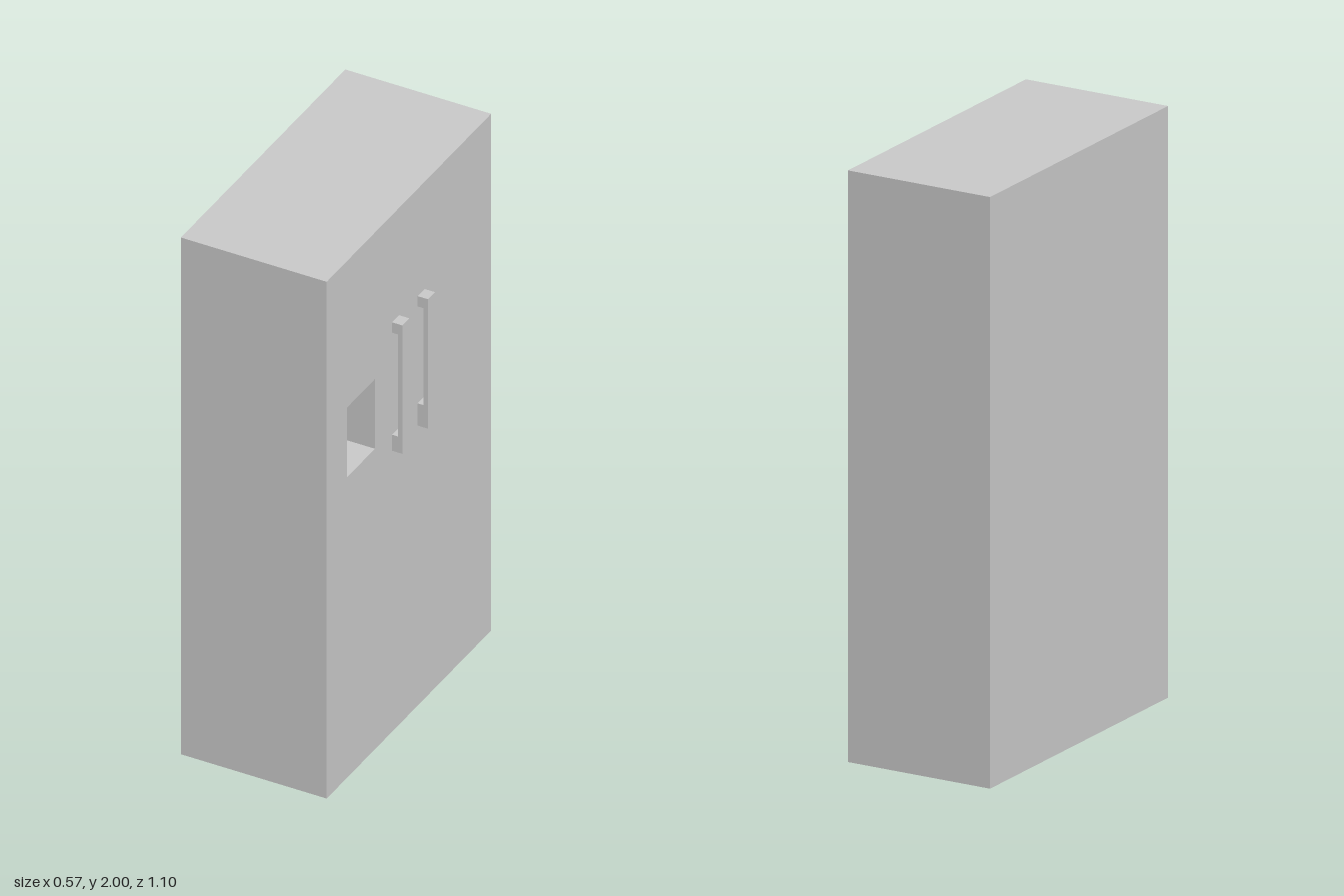
import * as THREE from 'three';

const BACK = -0.286, FRONT = 0.248, HALF_W = 0.552, HEIGHT = 2;
const POCKET = { z0: 0.228, z1: 0.415, y0: 1.163, y1: 1.433, depth: 0.105 };

const material = new THREE.MeshStandardMaterial({ color: 0xcccccc, flatShading: true });

function addMesh(parent, name, geometry) {
  const mesh = new THREE.Mesh(geometry, material);
  mesh.name = name;
  parent.add(mesh);
  return mesh;
}

// Box given by its lower and upper corners
function addBox(parent, name, [x0, y0, z0], [x1, y1, z1]) {
  const mesh = addMesh(parent, name, new THREE.BoxGeometry(x1 - x0, y1 - y0, z1 - z0));
  mesh.position.set((x0 + x1) / 2, (y0 + y1) / 2, (z0 + z1) / 2);
}

function polygon(points) {
  return points.map(([x, y]) => new THREE.Vector2(x, y));
}

// C-shaped door pull: a flat bar with a post at each end
function addHandle(parent, name, z, bottom, postTop) {
  const top = 1.585, outer = 0.286, inner = 0.269, upperPost = 1.545, width = 0.047;
  const profile = new THREE.Shape(polygon([
    [FRONT, bottom], [outer, bottom], [outer, top], [FRONT, top],
    [FRONT, upperPost], [inner, upperPost], [inner, postTop], [FRONT, postTop],
  ]));
  const geometry = new THREE.ExtrudeGeometry(profile, { depth: width, bevelEnabled: false });
  geometry.translate(0, 0, z - width / 2);
  addMesh(parent, name, geometry);
}

export function createModel() {
  const model = new THREE.Group();
  model.name = 'refrigerator';
  const { z0, z1, y0, y1, depth } = POCKET;
  const seam = FRONT - depth;

  // Cabinet; its front face closes the back of the dispenser recess
  addBox(model, 'cabinet', [BACK, 0, -HALF_W], [seam, HEIGHT, HALF_W]);

  // Door slab with the dispenser recess cut through, drawn with shape x = -z
  const slab = new THREE.Shape(polygon([[-HALF_W, 0], [HALF_W, 0], [HALF_W, HEIGHT], [-HALF_W, HEIGHT]]));
  slab.holes.push(new THREE.Path(polygon([[-z1, y0], [-z1, y1], [-z0, y1], [-z0, y0]])));
  const slabGeometry = new THREE.ExtrudeGeometry(slab, { depth, bevelEnabled: false });
  slabGeometry.rotateY(Math.PI / 2).translate(seam, 0, 0);
  addMesh(model, 'doorFront', slabGeometry);

  // Two small spouts under the recess ceiling
  [[0.341, 0.373], [0.262, 0.299]].forEach(([a, b], i) =>
    addBox(model, `dispenserSpout${i + 1}`, [0.175, 1.412, a], [0.215, y1, b]));

  // Pair of handles beside the door gap
  addHandle(model, 'leftHandle', 0.09, 1.088, 1.15);
  addHandle(model, 'rightHandle', -0.082, 1.084, 1.17);

  return model;
}
